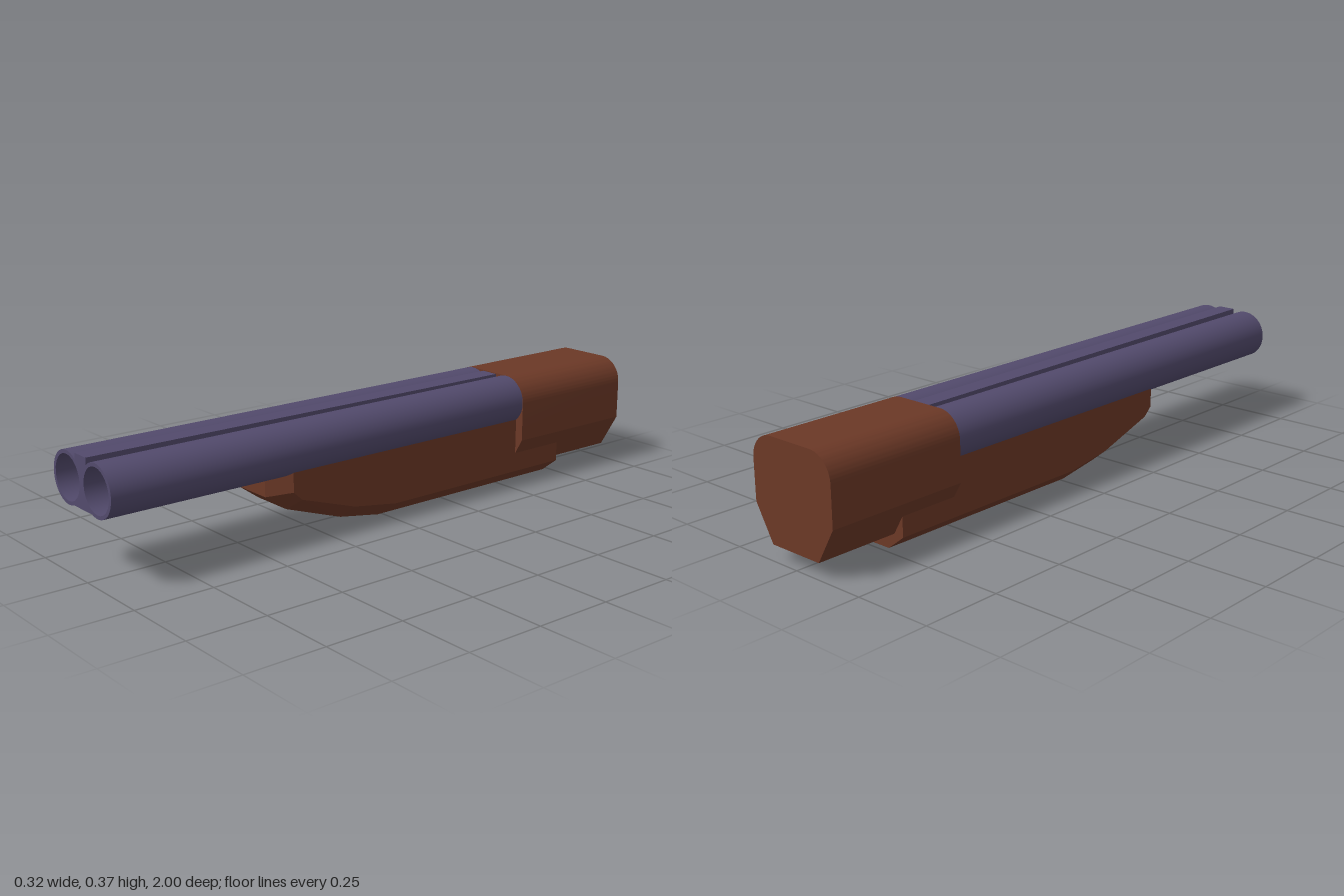
import * as THREE from 'three';
import { toCreasedNormals } from 'three/addons/utils/BufferGeometryUtils.js';

const metal = new THREE.MeshStandardMaterial({ color: 0x524a6c });
const wood = new THREE.MeshStandardMaterial({ color: 0x6b3826 });

const R = 0.079, BORE = 0.068, CY = 0.286; // barrel radius, bore radius, axis height
const BREECH = -0.53;

function addMesh(group, name, geometry, material) {
  const mesh = new THREE.Mesh(geometry, material);
  mesh.name = name;
  group.add(mesh);
  return mesh;
}

// Extrude an x-y outline from z0 to z1, smooth round the curves
function extrudeZ(shape, z0, z1) {
  const geo = new THREE.ExtrudeGeometry(shape, { depth: z1 - z0, bevelEnabled: false, curveSegments: 12 });
  geo.translate(0, 0, z0);
  return toCreasedNormals(geo, 0.4);
}

// Two barrels joined by a web, with open bores
function barrelShape() {
  const low = Math.acos((0.05 - R) / R), high = Math.acos((0.03 - R) / R);
  const shape = new THREE.Shape();
  shape.moveTo(0, 0.225);
  shape.absarc(R, CY, R, -low, high, false);
  shape.absarc(-R, CY, R, Math.PI - high, Math.PI + low, false);
  shape.closePath();
  for (const x of [-R, R]) {
    const hole = new THREE.Path();
    hole.absarc(x, CY, BORE, 0, Math.PI * 2, true);
    shape.holes.push(hole);
  }
  return shape;
}

// Rounded top, straight sides, tapered underside
function receiverShape() {
  const shape = new THREE.Shape();
  shape.moveTo(-0.095, 0.05);
  shape.lineTo(0.095, 0.05);
  shape.lineTo(0.159, 0.16);
  shape.absarc(0.08, CY, R, 0, Math.PI / 2, false);
  shape.absarc(-0.08, CY, R, Math.PI / 2, Math.PI, false);
  shape.lineTo(-0.159, 0.16);
  shape.closePath();
  return shape;
}

// Top rib, sloping slightly down toward the breech
function ribGeometry() {
  const geo = new THREE.BoxGeometry(0.06, 0.02, 1 - BREECH);
  geo.translate(0, 0.358, (1 + BREECH) / 2);
  const p = geo.attributes.position;
  for (let i = 0; i < p.count; i++) {
    if (p.getY(i) > 0.36 && p.getZ(i) < 0) p.setY(i, 0.362);
  }
  geo.computeVertexNormals();
  return geo;
}

// Faceted forend lofted from front to back
function forendGeometry() {
  const top = 0.235, wIn = 0.07, wOut = 0.13;
  // [inner z, bottom y, outer z, chamfer y]
  const stations = [
    [0.445, 0.148, 0.385, 0.165],
    [0.37, 0.095, 0.355, 0.137],
    [0.165, 0.025, 0.155, 0.072],
    [0.015, 0, -0.01, 0.047],
    [-0.73, 0, -0.73, 0.047],
  ];
  const pos = [], index = [], n = 8;
  for (const [zi, yb, zo, yc] of stations) {
    pos.push(
      wIn, top, zi, -wIn, top, zi, -wOut, top, zo, -wOut, yc, zo,
      -wIn, yb, zi, wIn, yb, zi, wOut, yc, zo, wOut, top, zo);
  }
  for (let s = 0; s < stations.length - 1; s++) {
    for (let i = 0; i < n; i++) {
      const a = s * n + i, b = s * n + (i + 1) % n;
      index.push(a, a + n, b, b, a + n, b + n);
    }
  }
  // Front face, its two angled cheeks, and the back
  index.push(0, 1, 4, 0, 4, 5, 1, 2, 3, 1, 3, 4, 7, 0, 5, 7, 5, 6);
  const last = (stations.length - 1) * n;
  for (let i = 1; i < n - 1; i++) index.push(last, last + i + 1, last + i);
  const geo = new THREE.BufferGeometry();
  geo.setAttribute('position', new THREE.Float32BufferAttribute(pos, 3));
  geo.setIndex(index);
  const flat = geo.toNonIndexed();
  flat.computeVertexNormals();
  return flat;
}

export function createModel() {
  const model = new THREE.Group();
  model.name = 'doubleBarrel';
  addMesh(model, 'barrels', extrudeZ(barrelShape(), BREECH, 1), metal);
  addMesh(model, 'rib', ribGeometry(), metal);
  for (const [name, x] of [['leftBoreEnd', R], ['rightBoreEnd', -R]]) {
    addMesh(model, name, new THREE.CircleGeometry(BORE, 24), metal).position.set(x, CY, BREECH + 0.03);
  }
  addMesh(model, 'receiver', extrudeZ(receiverShape(), -1, BREECH), wood);
  addMesh(model, 'forend', forendGeometry(), wood);
  return model;
}
